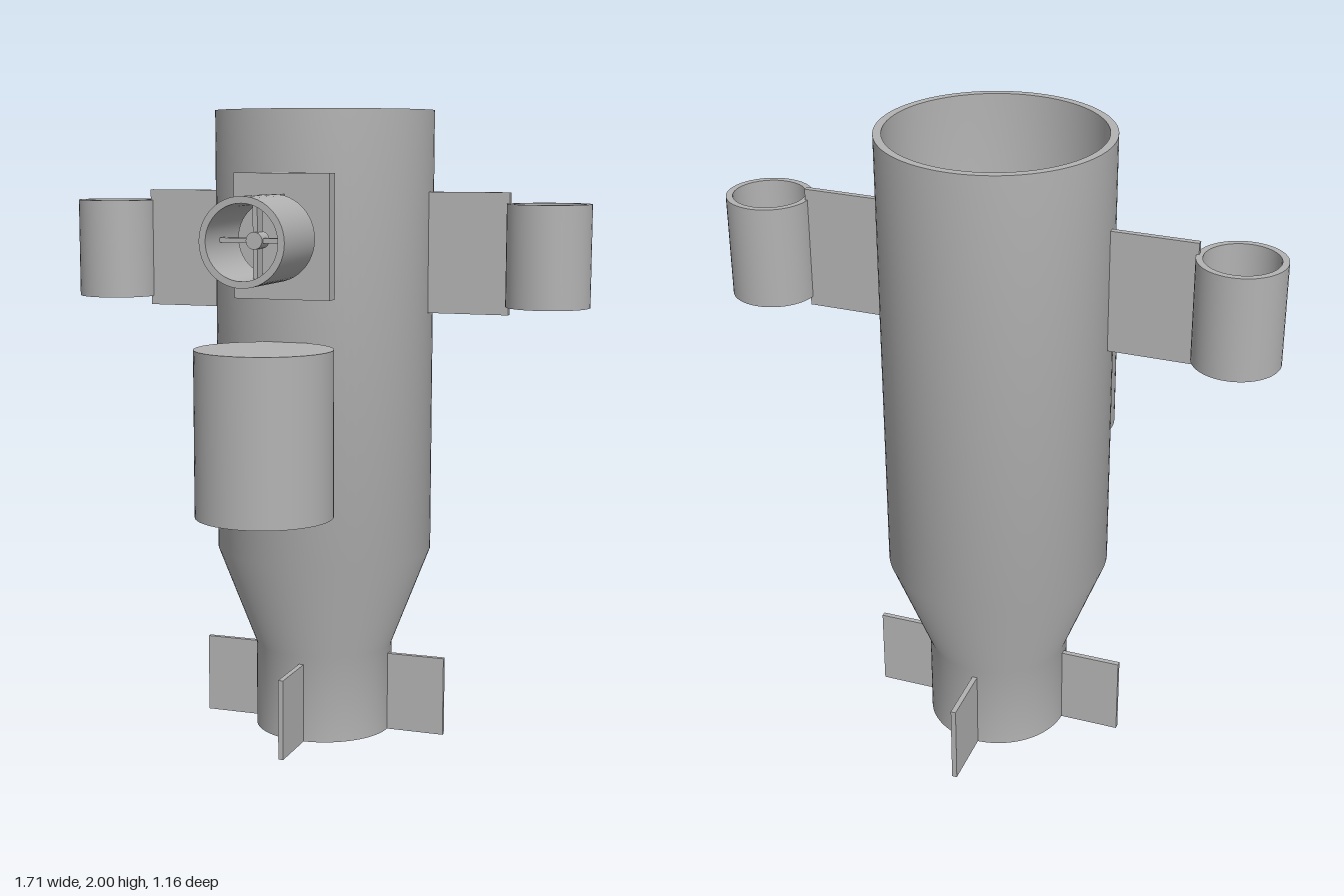
import * as THREE from 'three';
import { toCreasedNormals } from 'three/addons/utils/BufferGeometryUtils.js';

const AXIS_Z = -0.17; // the hull's vertical axis

export function createModel() {
  const model = new THREE.Group();
  const grey = new THREE.MeshStandardMaterial({ color: 0xb3b3b3 });
  grey.name = 'plain grey';

  const add = (parent, name, geometry, x = 0, y = 0, z = 0) => {
    const mesh = new THREE.Mesh(geometry, grey);
    mesh.name = name;
    mesh.position.set(x, y, z);
    parent.add(mesh);
    return mesh;
  };
  const box = (w, h, d) => new THREE.BoxGeometry(w, h, d);
  const lathe = (points, segments) => toCreasedNormals(
    new THREE.LatheGeometry(points.map(([r, y]) => new THREE.Vector2(r, y)), segments), 0.6);

  // Hub held by four radial struts, lying across a duct
  const addSpider = (parent, hubR, hubH, outerR, strutW, strutH) => {
    add(parent, 'hub', new THREE.CylinderGeometry(hubR, hubR, hubH, 32));
    for (let i = 0; i < 2; i++) {
      add(parent, 'hubStrut', box(outerR * 2, strutH, strutW)).rotation.y = i * Math.PI / 2;
    }
  };

  // Open thruster duct along y, centred on its own origin
  const makeThruster = (name, length) => {
    const group = new THREE.Group();
    group.name = name;
    const h = length / 2;
    add(group, 'duct', lathe([[0.11, -h], [0.13, -h], [0.13, h], [0.11, h], [0.11, -h]], 48));
    addSpider(group, 0.025, 0.06, 0.115, 0.014, 0.04);
    model.add(group);
    return group;
  };

  // Hollow hull with a tapered tail
  add(model, 'hull', lathe([
    [0.2, 0], [0.222, 0], [0.222, 0.28], [0.346, 0.6], [0.346, 2],
    [0.322, 2], [0.322, 0.6], [0.2, 0.28], [0.2, 0],
  ], 80), 0, 0, AXIS_Z);
  add(model, 'hullFloor', new THREE.CylinderGeometry(0.205, 0.205, 0.02, 64), 0, 0.27, AXIS_Z);

  // Tail hub with diagonal struts
  const tail = new THREE.Group();
  tail.name = 'tailHub';
  tail.position.set(0, 0.09, AXIS_Z);
  tail.rotation.y = Math.PI / 4;
  addSpider(tail, 0.07, 0.1, 0.21, 0.016, 0.05);
  model.add(tail);

  // Four tail fins
  for (let i = 0; i < 4; i++) {
    const a = i * Math.PI / 2;
    add(model, 'tailFin', box(0.2, 0.255, 0.016),
      Math.cos(a) * 0.31, 0.1275, AXIS_Z - Math.sin(a) * 0.31).rotation.y = a;
  }

  // Side thrusters on flat pylons that pass through the hull wall
  for (const s of [1, -1]) {
    add(model, s > 0 ? 'leftPylon' : 'rightPylon', box(0.29, 0.377, 0.018), s * 0.458, 1.56, AXIS_Z);
    makeThruster(s > 0 ? 'leftThruster' : 'rightThruster', 0.315).position.set(s * 0.725, 1.557, AXIS_Z);
  }

  // Front thruster, its mounting plate and two arms
  const front = makeThruster('frontThruster', 0.255);
  front.rotation.x = Math.PI / 2;
  front.position.set(0, 1.62, 0.418);
  add(model, 'mountPlate', box(0.304, 0.376, 0.05), 0, 1.622, 0.2);
  for (const s of [1, -1]) {
    add(model, 'mountArm', box(0.02, 0.012, 0.12), 0, 1.62 + s * 0.122, 0.26);
  }

  // Front tank
  add(model, 'frontTank', new THREE.CylinderGeometry(0.207, 0.207, 0.5, 64), 0, 1.05, 0.373);

  return model;
}
